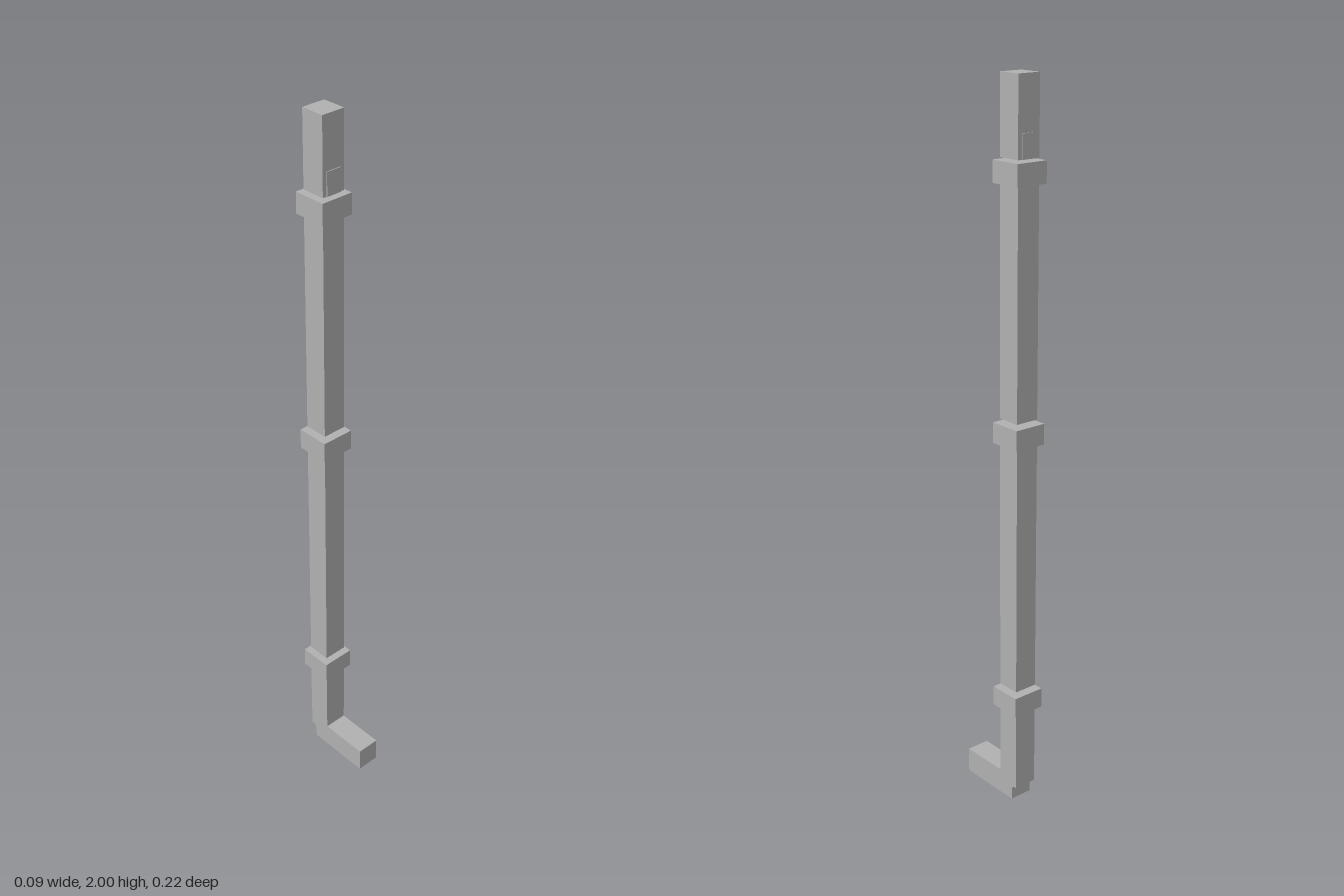
import * as THREE from 'three';

export function createModel() {
  const model = new THREE.Group();
  model.name = 'downpipe';
  const metal = new THREE.MeshStandardMaterial({ color: 0xb0b0b0 });
  metal.name = 'grey metal';
  const pipeZ = -0.065;

  // Box centred on the pipe axis, spanning y0 to y1
  const box = (name, width, depth, y0, y1, z = pipeZ) => {
    const mesh = new THREE.Mesh(new THREE.BoxGeometry(width, y1 - y0, depth), metal);
    mesh.name = name;
    mesh.position.set(0, (y0 + y1) / 2, z);
    model.add(mesh);
  };

  // Square pipe lengths, each stopping just above the bracket below it
  const lengths = [[0.1, 0.3], [0.349, 1.08], [1.125, 1.75], [1.797, 2]];
  lengths.forEach(([y0, y1]) => box('pipeLength', 0.068, 0.068, y0, y1));

  // Wall brackets around the joints
  [0.281, 1.057, 1.734].forEach((y) => box('bracket', 0.094, 0.094, y, y + 0.057));

  // Thin tabs on the front and back of the top length
  [-1, 1].forEach((s) => box('jointTab', 0.044, 0.003, 1.797, 1.86, pipeZ + s * 0.035));

  // Outlet elbow: side profile (z, y) extruded across the width
  const profile = new THREE.Shape([
    [0.112, 0], [0.112, 0.072], [-0.031, 0.072], [-0.031, 0.12], [-0.099, 0.12],
    [-0.099, 0.043], [-0.088, 0.043], [-0.081, 0.033], [-0.081, 0],
  ].map(([z, y]) => new THREE.Vector2(z, y)));
  const width = 0.067;
  const elbowGeometry = new THREE.ExtrudeGeometry(profile, { depth: width, bevelEnabled: false });
  elbowGeometry.translate(0, 0, -width / 2);
  elbowGeometry.rotateY(-Math.PI / 2);
  const elbow = new THREE.Mesh(elbowGeometry, metal);
  elbow.name = 'outletElbow';
  model.add(elbow);

  return model;
}
